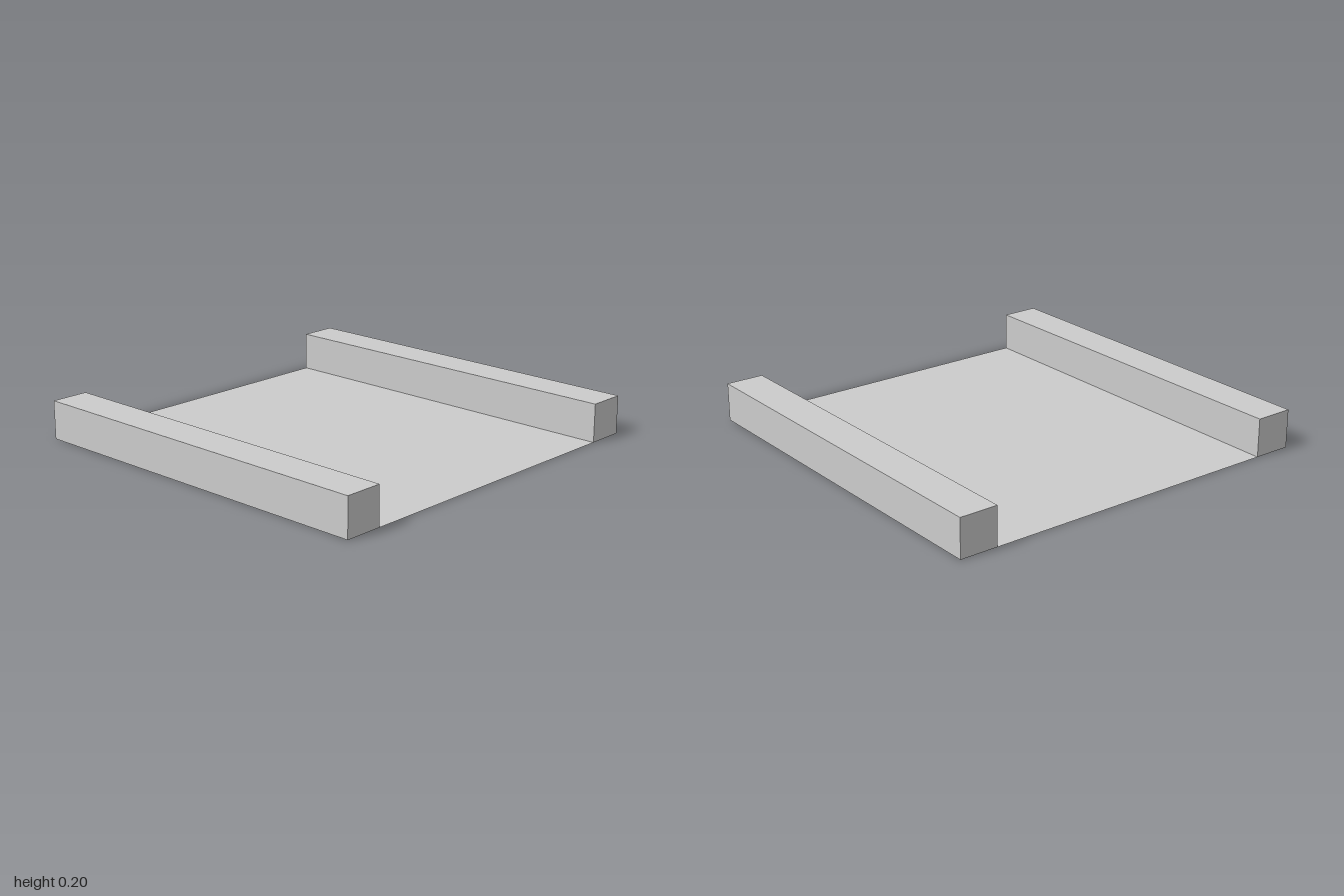
import * as THREE from 'three';

const SIZE = 2; // side of the square floor
const RAIL = 0.2; // rail width and height

export function createModel() {
  const model = new THREE.Group();
  model.name = 'railedFloor';

  // Thin floor panel, seen from both sides
  const floor = new THREE.Mesh(
    new THREE.PlaneGeometry(SIZE, SIZE).rotateX(-Math.PI / 2),
    new THREE.MeshStandardMaterial({ color: 0xcccccc, side: THREE.DoubleSide })
  );
  floor.name = 'floor';
  model.add(floor);

  // Square rail, open underneath where the floor closes it
  const railGeometry = new THREE.BoxGeometry(RAIL, RAIL, SIZE);
  const index = Array.from(railGeometry.index.array);
  index.splice(18, 6); // bottom face
  railGeometry.setIndex(index);
  railGeometry.clearGroups();
  const railMaterial = new THREE.MeshStandardMaterial({ color: 0xcccccc });

  // One rail along each side edge
  for (const [name, side] of [['leftRail', 1], ['rightRail', -1]]) {
    const rail = new THREE.Mesh(railGeometry, railMaterial);
    rail.name = name;
    rail.position.set(side * (SIZE - RAIL) / 2, RAIL / 2, 0);
    model.add(rail);
  }

  return model;
}
